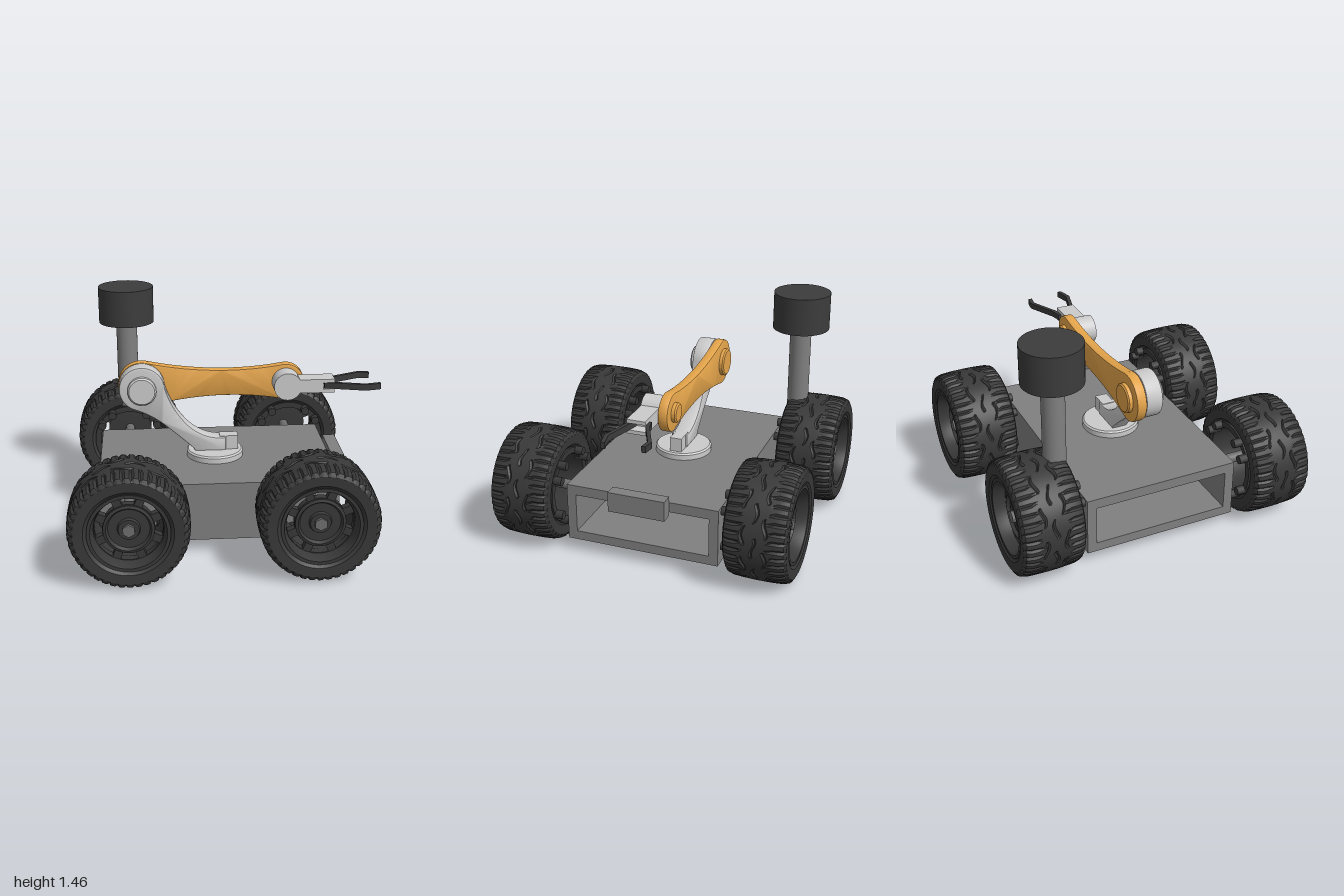
import * as THREE from 'three';
import { toCreasedNormals, mergeVertices } from 'three/addons/utils/BufferGeometryUtils.js';

const mat = (color) => new THREE.MeshStandardMaterial({ color });
const GREY = mat(0xcccccc), BODY = mat(0x808080), STEEL = mat(0x6e6e6e);
const RUBBER = mat(0x383838), DARK = mat(0x3c3c3c), ORANGE = mat(0xe5a54b);
const V = (x, y) => new THREE.Vector2(x, y);
const rad = THREE.MathUtils.degToRad;

function add(parent, name, geometry, material, x = 0, y = 0, z = 0) {
  const mesh = new THREE.Mesh(geometry, material);
  mesh.name = name;
  mesh.position.set(x, y, z);
  parent.add(mesh);
  return mesh;
}

const box = (w, h, d) => new THREE.BoxGeometry(w, h, d);

// Cylinder along z between z0 and z1
function rod(r, z0, z1, sides = 32) {
  return new THREE.CylinderGeometry(r, r, z1 - z0, sides).rotateX(Math.PI / 2).translate(0, 0, (z0 + z1) / 2);
}

// Round body turned about z from a (radius, z) profile
function turned(points, segments = 64) {
  const g = new THREE.LatheGeometry(points.map(([r, z]) => V(r, z)), segments).rotateX(Math.PI / 2);
  return toCreasedNormals(g, 0.5);
}

// Plate in xy between z0 and z1, edges softened by a bevel
function plate(shape, z0, z1, bevel = 0) {
  const g = new THREE.ExtrudeGeometry(shape, {
    depth: z1 - z0 - 2 * bevel, bevelEnabled: bevel > 0, bevelSize: bevel,
    bevelThickness: bevel, bevelOffset: -bevel, bevelSegments: 2, curveSegments: 24,
  });
  return toCreasedNormals(g.translate(0, 0, z0 + bevel), 0.6);
}

// Tyre: turned profile with shoulder notches and wavy, broken grooves
function tyreGeometry() {
  const segs = 168;
  const rows = [-0.15, -0.115, -0.075, -0.065, -0.055, -0.01, 0, 0.01, 0.055, 0.065, 0.075, 0.115, 0.15];
  const profile = [V(0.238, -0.17), V(0.265, -0.192), V(0.325, -0.195), V(0.35, -0.182)];
  rows.forEach((z) => profile.push(V(0.366 - 0.25 * z * z, z)));
  profile.push(V(0.35, 0.182), V(0.325, 0.195), V(0.265, 0.192), V(0.238, 0.17));
  const g = new THREE.LatheGeometry(profile, segs);
  const p = g.attributes.position, n = profile.length;
  for (let k = 0; k < p.count; k++) {
    const i = Math.floor(k / n) % segs, a = (i / segs) * Math.PI * 2;
    const z = p.getY(k), r = Math.hypot(p.getX(k), p.getZ(k));
    if (r < 0.34) continue;
    let cut = 0;
    const shoulder = Math.abs(z) > 0.11;
    if (shoulder && (i + (z > 0 ? 2 : 0)) % 4 === 0) cut = 0.012;
    const groove = Math.abs(z) < 0.001 || Math.abs(Math.abs(z) - 0.065) < 0.001;
    if (groove && Math.sin(a * 11 + z * 60) > -0.1) cut = 0.01;
    const s = (r - cut) / r;
    p.setXYZ(k, p.getX(k) * s, shoulder ? z : z + 0.012 * Math.sin(a * 14 + z * 25), p.getZ(k) * s);
  }
  g.rotateX(Math.PI / 2);
  g.deleteAttribute('uv');
  g.deleteAttribute('normal');
  return toCreasedNormals(mergeVertices(g, 1e-5), 0.5);
}

// Wheel disc with eight windows
function discGeometry() {
  const shape = new THREE.Shape().absarc(0, 0, 0.215, 0, Math.PI * 2);
  for (let k = 0; k < 8; k++) {
    const a = (k * Math.PI) / 4, h = 0.27;
    const hole = new THREE.Path();
    hole.absarc(0, 0, 0.202, a - h, a + h, false);
    hole.absarc(0, 0, 0.155, a + h * 0.85, a - h * 0.85, true);
    hole.closePath();
    shape.holes.push(hole);
  }
  return plate(shape, 0.06, 0.11);
}

// Wheel centred on its axle, outer face towards +z
function makeWheel() {
  const wheel = new THREE.Group();
  wheel.name = 'wheel';
  add(wheel, 'tyre', tyreGeometry(), RUBBER);
  add(wheel, 'rim', turned([[0.206, -0.19], [0.245, -0.19], [0.245, 0.185], [0.225, 0.185],
    [0.206, 0.13], [0.206, -0.19]]), RUBBER);
  add(wheel, 'wheelDisc', discGeometry(), RUBBER);
  add(wheel, 'hub', turned([[0.0, 0.04], [0.15, 0.05], [0.152, 0.125], [0.135, 0.13], [0.12, 0.105],
    [0.07, 0.105], [0.062, 0.13], [0, 0.13]]), RUBBER);
  add(wheel, 'hubNut', rod(0.04, 0.12, 0.15, 6), STEEL);
  add(wheel, 'axle', rod(0.032, -0.27, 0.06), STEEL);
  // Pegs on the inner edge, in pairs about the diagonals
  for (let k = 0; k < 8; k++) {
    const a = rad(45 + 90 * Math.floor(k / 2) + (k % 2 ? 13.4 : -13.4));
    add(wheel, 'peg', rod(0.028, -0.24, -0.15, 12), RUBBER, 0.226 * Math.cos(a), 0.226 * Math.sin(a));
  }
  return wheel;
}

function makeChassis() {
  const chassis = new THREE.Group();
  chassis.name = 'chassis';
  const rect = (P, w, y0, y1) => new P([V(-w, y0), V(w, y0), V(w, y1), V(-w, y1)]);
  const section = rect(THREE.Shape, 0.5, 0.09, 0.47);
  section.holes.push(rect(THREE.Path, 0.44, 0.15, 0.405));
  add(chassis, 'frame', plate(section, -0.82, 0.68).rotateY(Math.PI / 2), BODY);
  add(chassis, 'sensorBox', box(0.08, 0.13, 0.37), BODY, 0.72, 0.445, 0);
  return chassis;
}

function makeMast() {
  const mast = new THREE.Group();
  mast.name = 'mast';
  mast.position.set(-0.635, 0, -0.627);
  add(mast, 'pole', new THREE.CylinderGeometry(0.071, 0.071, 0.62, 40), BODY, 0, 0.93, 0);
  add(mast, 'mastHead', new THREE.CylinderGeometry(0.187, 0.187, 0.245, 64), DARK, 0, 1.343, 0);
  return mast;
}

function makeArm() {
  const arm = new THREE.Group();
  arm.name = 'arm';
  add(arm, 'turntable', turned([[0, 0.46], [0.185, 0.46], [0.185, 0.505], [0.175, 0.515], [0, 0.515]])
    .rotateX(-Math.PI / 2), GREY, -0.07, 0, 0);

  // Lower arm: round head sweeping down to a foot on the turntable
  const lower = new THREE.Shape();
  lower.absarc(-0.54, 0.945, 0.147, rad(5), rad(245), false);
  lower.quadraticCurveTo(-0.49, 0.775, -0.4, 0.7);
  lower.quadraticCurveTo(-0.31, 0.625, -0.215, 0.535);
  lower.lineTo(-0.2, 0.513);
  lower.lineTo(0.0, 0.513);
  lower.lineTo(0.0, 0.605);
  lower.quadraticCurveTo(-0.14, 0.59, -0.25, 0.7);
  lower.quadraticCurveTo(-0.36, 0.82, -0.394, 0.958);
  add(arm, 'lowerArm', plate(lower, -0.05, 0.06, 0.012), GREY);
  add(arm, 'foot', box(0.12, 0.095, 0.08), GREY, 0.02, 0.56, 0);
  add(arm, 'elbowCap', turned([[0, 0.05], [0.092, 0.05], [0.092, 0.085], [0.082, 0.095], [0, 0.095]]),
    GREY, -0.54, 0.94, 0);

  // Upper arm: waisted link with a boss behind each joint
  const upper = new THREE.Shape();
  upper.absarc(-0.54, 0.94, 0.153, rad(75), rad(285), false);
  upper.quadraticCurveTo(-0.05, 0.905, 0.38, 0.822);
  upper.absarc(0.4, 0.94, 0.122, rad(-100), rad(100), false);
  upper.quadraticCurveTo(-0.05, 0.99, -0.5, 1.088);
  add(arm, 'upperArm', plate(upper, -0.115, -0.05, 0.01), ORANGE);
  for (const [x, r] of [[-0.54, 0.092], [0.4, 0.062]]) {
    add(arm, 'jointBoss', turned([[0, -0.145], [r - 0.01, -0.145], [r, -0.137], [r, -0.11]]), ORANGE, x, 0.94, 0);
  }

  // Wrist and forked gripper mount
  add(arm, 'wrist', rod(0.09, -0.052, 0.075, 40), GREY, 0.4, 0.945, 0);
  add(arm, 'wristBar', box(0.19, 0.09, 0.12), GREY, 0.535, 0.945, 0.012);
  for (const s of [-1, 1]) add(arm, 'forkPlate', box(0.08, 0.023, 0.12), GREY, 0.665, 0.945 + s * 0.0335, 0.012);

  // Fingers: bent strips, opening out and turning in at the tips
  for (const s of [-1, 1]) {
    const t = 0.013;
    const path = [[0.64, 0.05], [0.71, 0.065], [0.9, s < 0 ? 0.155 : 0.115], [s < 0 ? 0.97 : 1.0, s < 0 ? 0.145 : 0.092]];
    const outer = path.map(([x, z]) => V(x, -s * z + t));
    const inner = path.map(([x, z]) => V(x, -s * z - t)).reverse();
    const finger = plate(new THREE.Shape([...outer, ...inner]), -0.02, 0.02).rotateX(-Math.PI / 2);
    add(arm, 'finger', finger, DARK, 0, 0.945, 0);
  }
  return arm;
}

export function createModel() {
  const model = new THREE.Group();
  model.name = 'rover';
  model.add(makeChassis(), makeMast(), makeArm());
  const wheel = makeWheel();
  for (const x of [-0.635, 0.495]) {
    for (const s of [-1, 1]) {
      const w = wheel.clone();
      w.position.set(x, 0.367, s * 0.765);
      w.rotation.y = s < 0 ? Math.PI : 0;
      model.add(w);
    }
  }
  return model;
}
